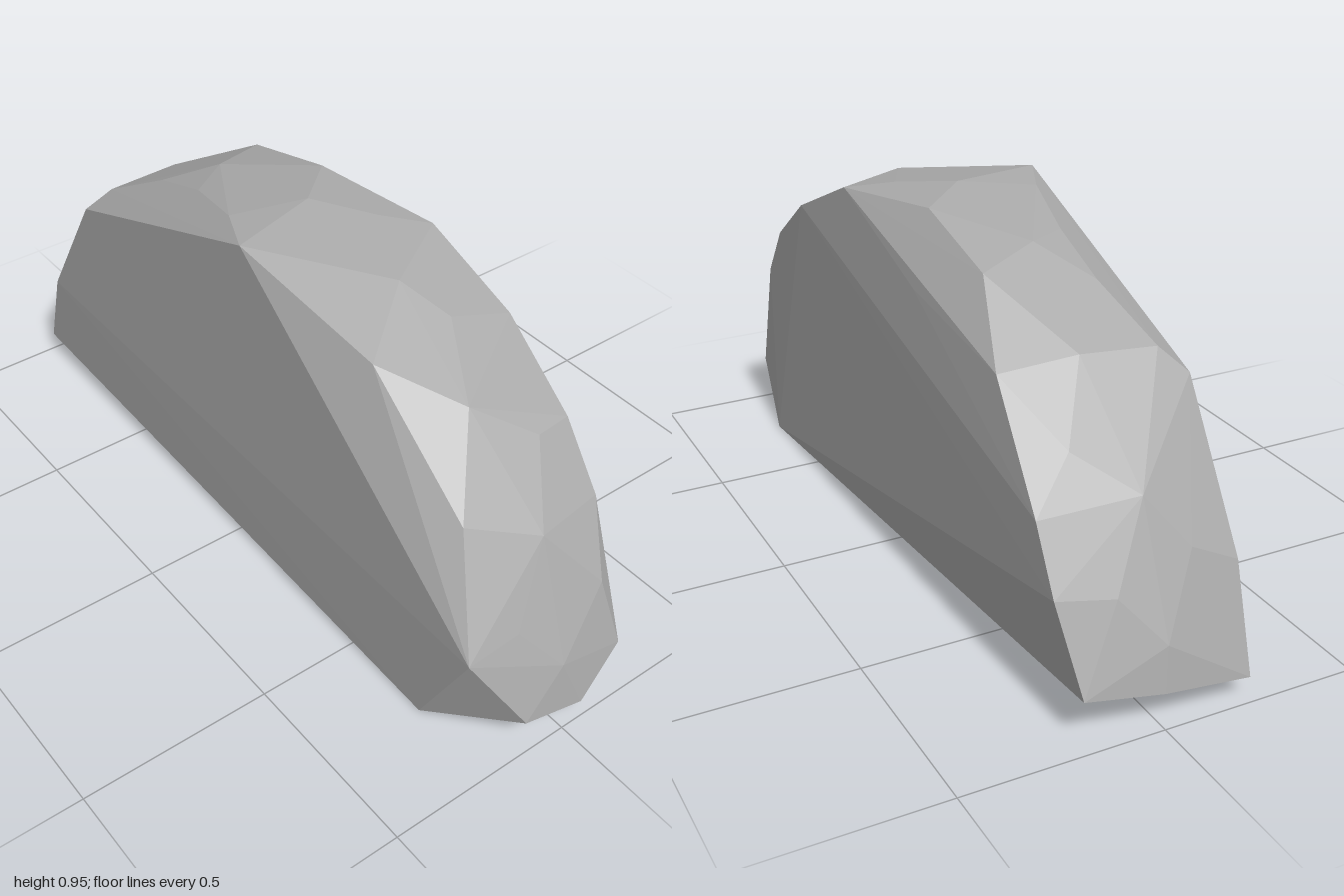
import * as THREE from 'three';
import { ConvexGeometry } from 'three/addons/geometries/ConvexGeometry.js';

export function createModel() {
  const group = new THREE.Group();
  group.name = 'halfRoundStone';
  const stone = new THREE.MeshStandardMaterial({ color: 0xaaaaaa, flatShading: true });
  stone.name = 'stone grey';

  // chipped rim of the left face, front to back
  const leftRim = [
    [0.23, 0, 0.77], [0.195, 0.14, 0.97], [0.155, 0.33, 0.925], [0.215, 0.49, 0.82],
    [0.222, 0.64, 0.7], [0.24, 0.79, 0.47], [0.22, 0.91, 0.21], [0.14, 0.94, -0.12],
    [0.22, 0.78, -0.2], [0.14, 0.87, -0.4], [0.21, 0.72, -0.6], [0.23, 0.48, -0.82],
    [0.228, 0.33, -0.9], [0.195, 0.12, -0.98],
  ];
  // chipped rim of the right face, front to back
  const rightRim = [
    [-0.235, 0, 0.76], [-0.245, 0.305, 0.92], [-0.16, 0.57, 0.78], [-0.17, 0.83, 0.47],
    [-0.235, 0.948, 0.06], [-0.175, 0.94, -0.07], [-0.13, 0.895, -0.27], [-0.12, 0.8, -0.5],
    [-0.17, 0.73, -0.64], [-0.232, 0.67, -0.68], [-0.235, 0.31, -0.9], [-0.225, 0.06, -0.99],
  ];
  // lower ends of the curved back
  const ends = [[-0.115, 0.09, 0.99], [0.055, 0.055, 1], [0, 0.09, -0.995]];
  const points = [...leftRim, ...rightRim, ...ends].map((p) => new THREE.Vector3(...p));

  // slightly crowned arc: three staggered rows of facet corners
  const rows = [[-0.1, 0.982, 20], [0, 1, 12], [0.1, 0.985, 24]];
  for (const [x, radius, start] of rows) {
    for (let deg = start, i = 0; deg < 172; deg += 19.5, i++) {
      const a = THREE.MathUtils.degToRad(deg);
      points.push(new THREE.Vector3(
        x + 0.025 * Math.sin(i * 2.3),
        0.955 * radius * Math.sin(a),
        radius * Math.cos(a),
      ));
    }
  }

  const body = new THREE.Mesh(new ConvexGeometry(points), stone);
  body.name = 'stoneBody';
  group.add(body);
  return group;
}
